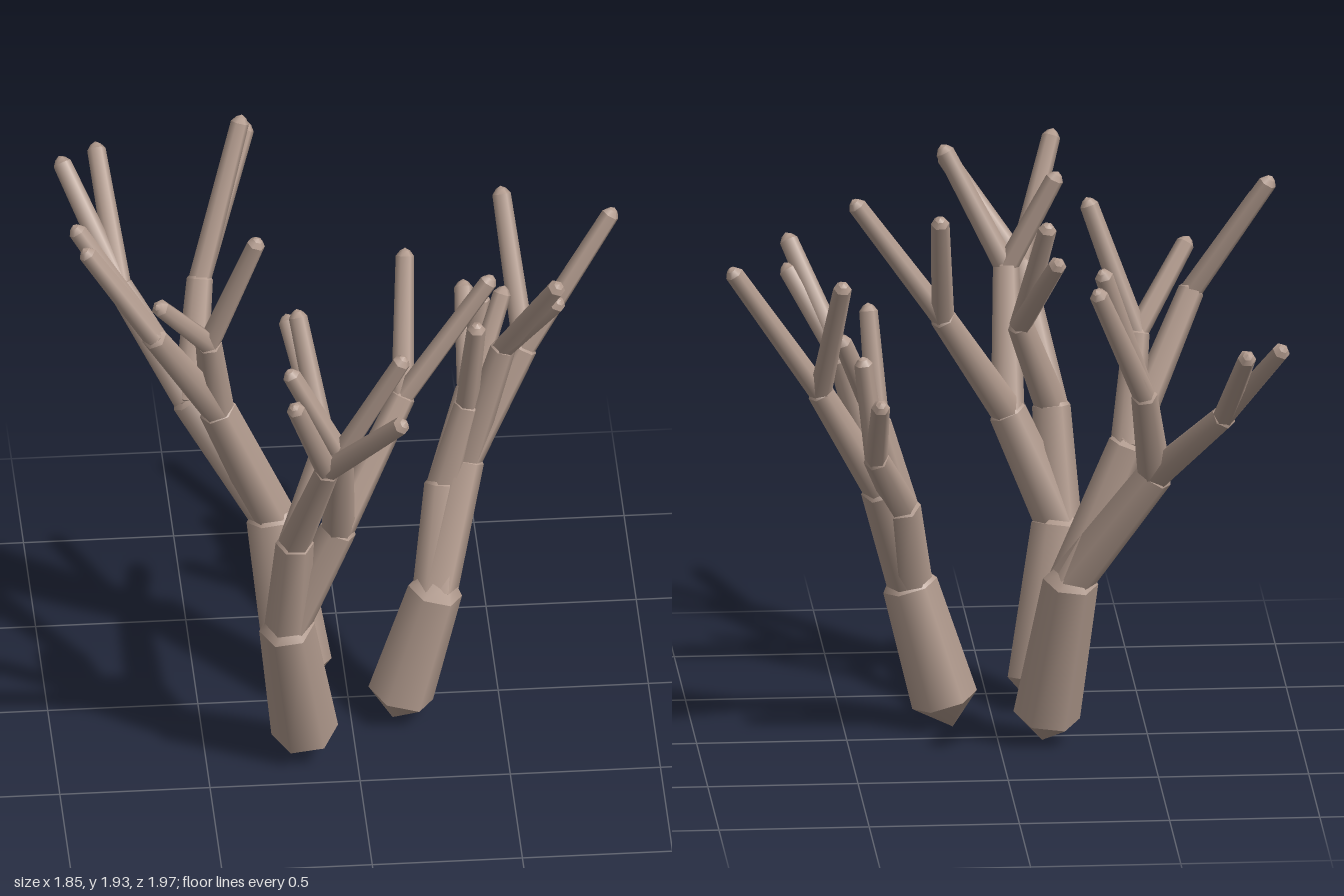
import * as THREE from 'three';
import { mergeGeometries } from 'three/addons/utils/BufferGeometryUtils.js';

const SIDES = 6;
const UP = new THREE.Vector3(0, 1, 0);
// start and end radius for trunk, limb, branch and twig
const RADII = [[0.112, 0.093], [0.076, 0.064], [0.056, 0.044], [0.038, 0.031]];
const NAMES = ['trunk', 'limb', 'branch', 'twig'];

// Tapered six-sided rod with a pointed cap at each end
function rodGeometry(r0, r1, length) {
  const side = new THREE.CylinderGeometry(r1, r0, length, SIDES, 1, true);
  const top = new THREE.CylinderGeometry(r1 * 0.55, r1, r1 * 0.6, SIDES, 1, true);
  top.translate(0, length / 2 + r1 * 0.3, 0);
  const tip = new THREE.CylinderGeometry(0, r1 * 0.55, r1 * 0.3, SIDES, 1, true);
  tip.translate(0, length / 2 + r1 * 0.75, 0);
  const foot = new THREE.CylinderGeometry(r0, 0, r0 * 0.88, SIDES, 1, true);
  foot.translate(0, -length / 2 - r0 * 0.44, 0);
  return mergeGeometries([side, top, tip, foot]).rotateY(Math.PI / 6);
}

// Each node is [x, y, z, child, child]; rods run from node to node
const TREES = {
  frontTree: {
    base: [-0.17, 0.1, 0.32],
    top: [-0.24, 0.6, 0.45,
      [-0.22, 0.99, 0.53,
        [-0.13, 1.42, 0.75, [-0.25, 1.8, 0.94], [0.1, 1.73, 0.96]],
        [-0.11, 1.3, 0.43, [-0.21, 1.6, 0.12], [-0.185, 1.69, 0.23]]],
      [-0.07, 0.99, 0.46,
        [0.16, 1.38, 0.27, [0.45, 1.79, 0.22], [0.187, 1.78, 0.03]],
        [-0.08, 1.43, 0.67, [0.12, 1.82, 0.72], [-0.24, 1.74, 0.65]]]],
  },
  backTree: {
    base: [-0.16, 0.1, -0.07],
    top: [-0.23, 0.6, -0.2,
      [-0.42, 1.06, -0.17,
        [-0.65, 1.52, 0.06, [-0.9, 1.91, -0.01], [-0.87, 1.85, 0.04]],
        [-0.46, 1.41, -0.05, [-0.307, 1.84, 0.01], [-0.635, 1.67, 0.11]]],
      [-0.5, 1.0, -0.33,
        [-0.71, 1.28, -0.6, [-0.88, 1.59, -0.89], [-0.76, 1.59, -0.965]],
        [-0.45, 1.34, -0.54, [-0.3, 1.82, -0.745], [-0.28, 1.765, -0.785]]]],
  },
  leftTree: {
    base: [0.165, 0.1, 0.13],
    top: [0.28, 0.5, 0.125,
      [0.395, 0.89, -0.06,
        [0.6, 1.26, -0.16, [0.895, 1.71, -0.265], [0.546, 1.7, -0.43]],
        [0.52, 1.34, -0.05, [0.688, 1.61, 0.1], [0.683, 1.7, 0.143]]],
      [0.32, 0.82, -0.03,
        [0.42, 1.05, -0.24, [0.423, 1.3, -0.48], [0.465, 1.39, -0.275]],
        [0.4, 1.12, -0.05, [0.53, 1.45, -0.21], [0.425, 1.48, 0.04]]]],
  },
};

function grow(group, from, node, level, material) {
  const [x, y, z, ...children] = node;
  const to = new THREE.Vector3(x, y, z);
  const axis = to.clone().sub(from);
  const [r0, r1] = RADII[level];
  const rod = new THREE.Mesh(rodGeometry(r0, r1, axis.length()), material);
  rod.name = NAMES[level];
  rod.position.copy(from).add(to).multiplyScalar(0.5);
  rod.quaternion.setFromUnitVectors(UP, axis.normalize());
  group.add(rod);
  children.forEach((child) => grow(group, to, child, level + 1, material));
}

export function createModel() {
  const model = new THREE.Group();
  model.name = 'bareTrees';
  const bark = new THREE.MeshStandardMaterial({ color: 0xb39c8f });
  bark.name = 'bark';
  for (const [name, { base, top }] of Object.entries(TREES)) {
    const tree = new THREE.Group();
    tree.name = name;
    grow(tree, new THREE.Vector3(...base), top, 0, bark);
    model.add(tree);
  }
  return model;
}
